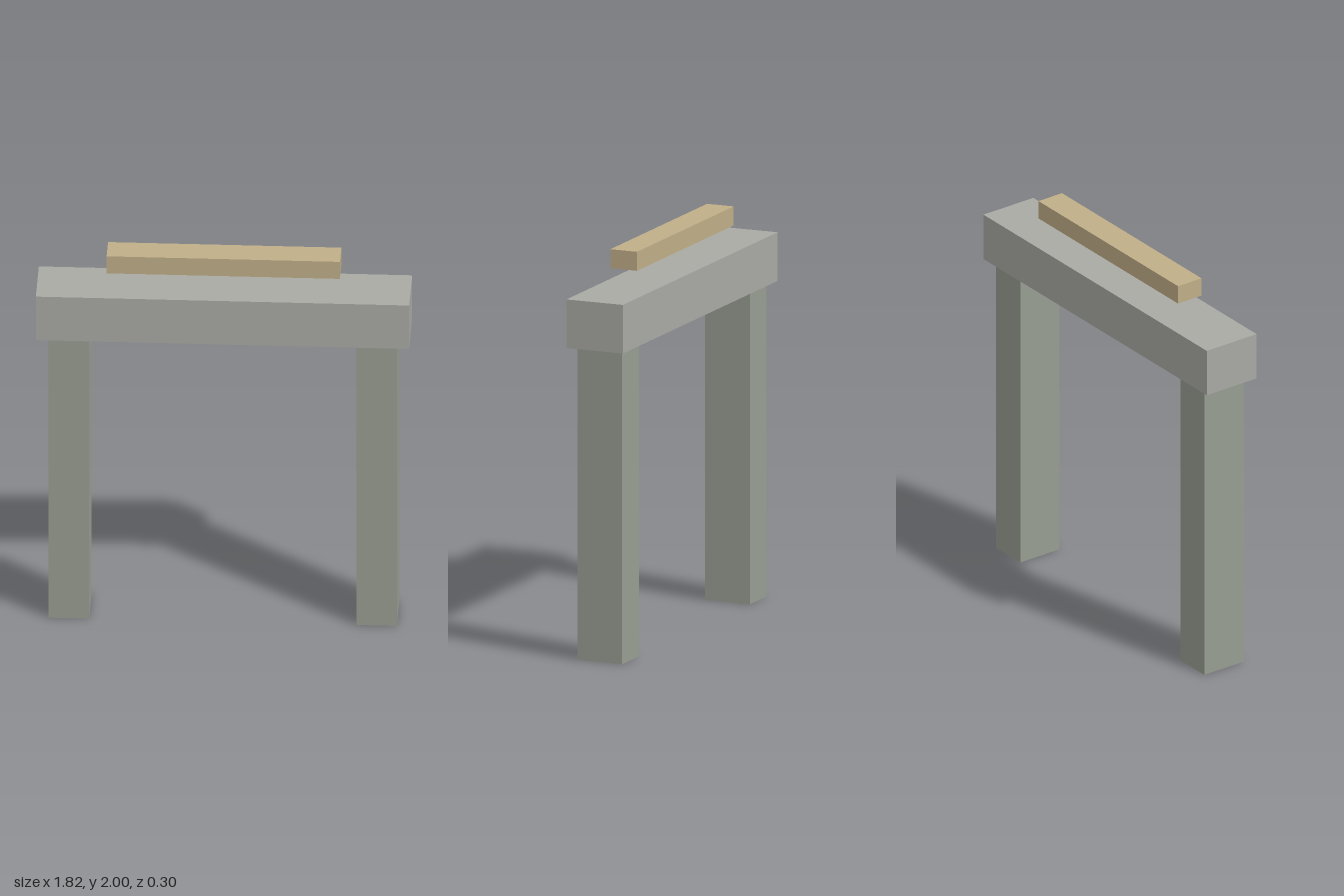
import * as THREE from 'three';

// Adds a named box spanning yMin to yMax, centred on z = 0
function addBox(group, name, color, width, depth, yMin, yMax, x = 0) {
  const mesh = new THREE.Mesh(
    new THREE.BoxGeometry(width, yMax - yMin, depth),
    new THREE.MeshStandardMaterial({ color })
  );
  mesh.name = name;
  mesh.position.set(x, (yMin + yMax) / 2, 0);
  group.add(mesh);
}

export function createModel() {
  const group = new THREE.Group();
  group.name = 'gateway';

  // Pair of upright posts
  for (const side of [-1, 1]) {
    addBox(group, side > 0 ? 'leftPost' : 'rightPost', 0x989e92, 0.197, 0.24, 0, 1.567, side * 0.752);
  }

  // Lintel resting on the posts
  addBox(group, 'lintel', 0xa9aaa4, 1.824, 0.303, 1.567, 1.81);

  // Slim bar floating above the lintel
  addBox(group, 'topBar', 0xc0ae88, 1.14, 0.143, 1.905, 2);

  return group;
}
